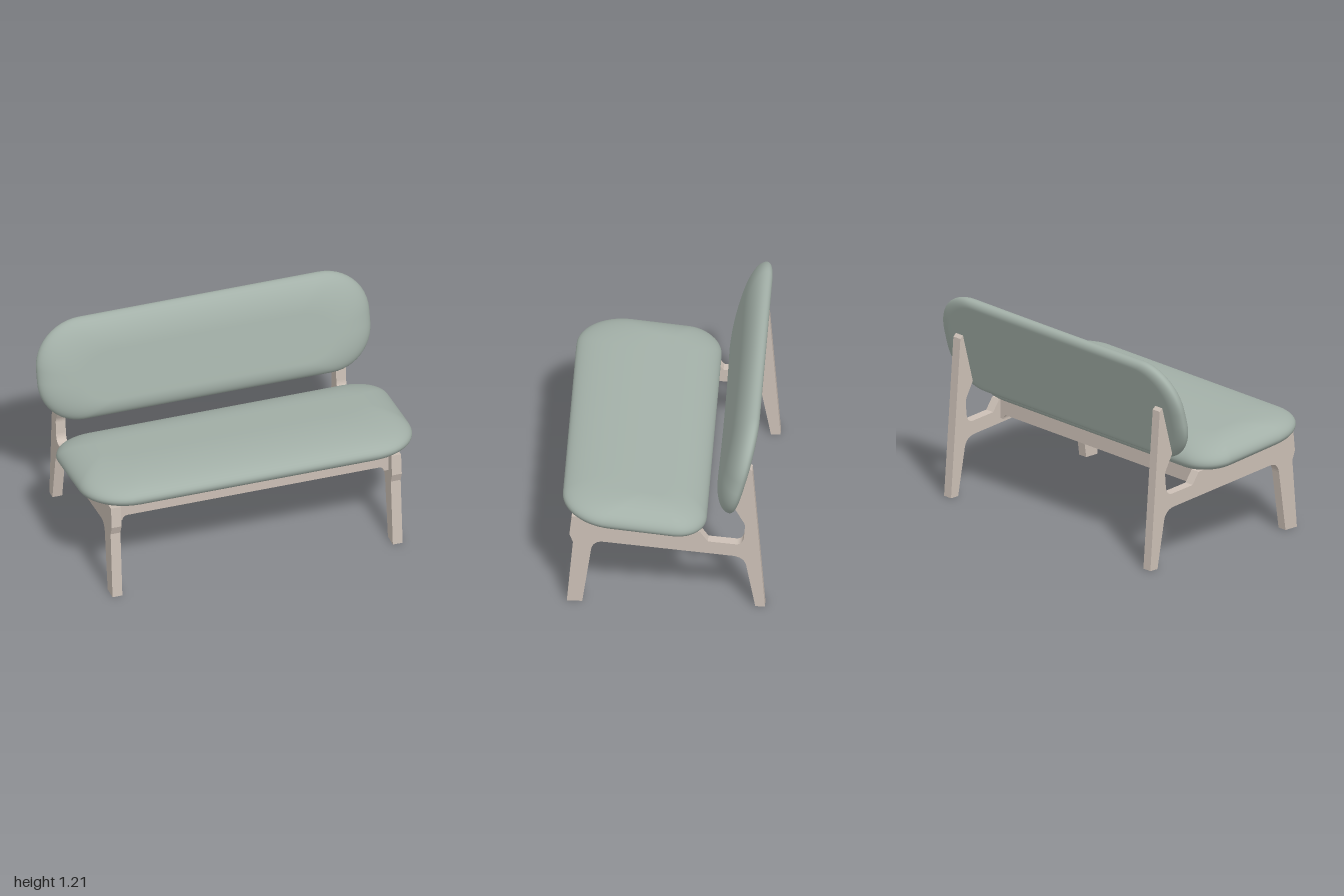
import * as THREE from 'three';

const fabric = new THREE.MeshStandardMaterial({ color: 0xa3b0a8 });
fabric.name = 'sage fabric';
const wood = new THREE.MeshStandardMaterial({ color: 0xcbbfb5 });
wood.name = 'pale wood';

const CX = -0.005; // centre line of seat and frame

// Rounded rectangle outline, counterclockwise, with its own corner radius at low and high v
function outline(hx, v0, v1, rLow, rHigh) {
  const pts = [];
  const corners = [[1, 1, 0], [-1, 1, 1], [-1, -1, 2], [1, -1, 3]];
  const N = 12;
  for (const [sx, sv, q] of corners) {
    const [rx, rv] = sv > 0 ? rHigh : rLow;
    const cx = sx * (hx - rx), cv = sv > 0 ? v1 - rv : v0 + rv;
    for (let i = 0; i <= N; i++) {
      const a = (q + i / N) * Math.PI / 2;
      pts.push([cx + rx * Math.cos(a), cv + rv * Math.sin(a)]);
    }
    // extra points along the long edges let the surface bend
    if (q % 2 === 0) {
      for (let i = 1; i < 12; i++) pts.push([cx - sx * 2 * (hx - rx) * i / 12, sv > 0 ? v1 : v0]);
    }
  }
  return pts;
}

// Upholstered pad: stacked outlines that round in towards a flat underside and a domed face
function cushion(name, p, place) {
  const base = outline(p.hx, p.v0, p.v1, p.rLow, p.rHigh);
  const rings = []; // [inset set, inset amount, height, scale to middle]
  for (const s of [0, 0.35, 0.7, 0.95]) rings.push([p.under, 1, 0, s]);
  for (let i = 0; i <= 8; i++) {
    const a = (i / 8 - 1) * Math.PI / 2;
    rings.push([p.under, 1 - Math.cos(a), p.edge * (1 + Math.sin(a)), 1]);
  }
  for (let i = 1; i <= 14; i++) {
    const a = i / 14 * Math.PI / 2;
    rings.push([p.face, 1 - Math.cos(a), p.edge + (p.thick - p.edge) * Math.sin(a), 1]);
  }
  for (const s of [0.8, 0.6, 0.4, 0.2, 0]) rings.push([p.face, 1, p.thick, s]);

  const pos = [], idx = [], n = base.length;
  for (const [inset, k, h, s] of rings) {
    const lo = p.v0 + inset.low * k, hi = p.v1 - inset.high * k, mid = (lo + hi) / 2;
    for (const [x, v] of base) {
      const px = x * (p.hx - inset.side * k) / p.hx * s;
      const pv = mid + (lo + (hi - lo) * (v - p.v0) / (p.v1 - p.v0) - mid) * s;
      pos.push(...place(px, pv, h));
    }
  }
  for (let j = 0; j < rings.length - 1; j++) {
    for (let i = 0; i < n; i++) {
      const a = j * n + i, b = j * n + (i + 1) % n;
      idx.push(a, b, a + n, b, b + n, a + n);
    }
  }
  const g = new THREE.BufferGeometry();
  g.setAttribute('position', new THREE.Float32BufferAttribute(pos, 3));
  g.setIndex(idx);
  g.computeVertexNormals();
  const mesh = new THREE.Mesh(g, fabric);
  mesh.name = name;
  return mesh;
}

// Side frame profile, drawn as (-z, y)
function frameShape() {
  const s = new THREE.Shape();
  const L = (z, y) => s.lineTo(-z, y);
  const Q = (cz, cy, z, y) => s.quadraticCurveTo(-cz, cy, -z, y);
  s.moveTo(-0.55, 0);
  L(0.462, 0);
  // front leg into lower rail
  L(0.412, 0.36);
  Q(0.402, 0.424, 0.34, 0.418);
  L(-0.395, 0.348);
  // lower rail into back leg
  Q(-0.46, 0.341, -0.473, 0.285);
  L(-0.525, 0);
  L(-0.58, 0);
  L(-0.508, 0.945);
  L(-0.488, 0.962);
  L(-0.412, 0.67);
  // elbow behind the seat
  L(-0.455, 0.59);
  Q(-0.467, 0.57, -0.466, 0.55);
  L(-0.46, 0.475);
  Q(-0.452, 0.425, -0.41, 0.429);
  L(-0.255, 0.443);
  L(-0.208, 0.511);
  L(0.522, 0.59);
  L(0.535, 0.465);
  L(0.515, 0.41);
  s.closePath();
  return s;
}

export function createModel() {
  const group = new THREE.Group();

  // Side frames
  const frameGeo = new THREE.ExtrudeGeometry(frameShape(), { depth: 0.059, bevelEnabled: false, curveSegments: 10 });
  frameGeo.rotateY(Math.PI / 2);
  for (const [name, x] of [['leftFrame', 0.8125], ['rightFrame', -0.8715]]) {
    const frame = new THREE.Mesh(frameGeo, wood);
    frame.position.x = CX + x;
    frame.name = name;
    group.add(frame);
  }

  // Seat platform with coved side strips, sloping down to the back
  const w = 0.8125;
  const deck = new THREE.Shape();
  deck.moveTo(-w, 0.583);
  deck.lineTo(-w, 0.462);
  deck.lineTo(-0.785, 0.462);
  deck.quadraticCurveTo(-0.782, 0.49, -0.752, 0.49);
  deck.lineTo(0.752, 0.49);
  deck.quadraticCurveTo(0.782, 0.49, 0.785, 0.462);
  deck.lineTo(w, 0.462);
  deck.lineTo(w, 0.583);
  deck.closePath();
  const deckGeo = new THREE.ExtrudeGeometry(deck, { depth: 0.67, bevelEnabled: false, curveSegments: 8 });
  deckGeo.translate(CX, 0, -0.2);
  const dp = deckGeo.attributes.position;
  for (let i = 0; i < dp.count; i++) dp.setY(i, dp.getY(i) + 0.1 * (dp.getZ(i) - 0.47));
  deckGeo.computeVertexNormals();
  const platform = new THREE.Mesh(deckGeo, wood);
  platform.name = 'seatPlatform';
  group.add(platform);

  // Seat cushion: v runs from front to back
  group.add(cushion('seatCushion', {
    hx: 0.995, v0: -0.58, v1: 0.245, rLow: [0.27, 0.27], rHigh: [0.2, 0.18],
    under: { low: 0.06, high: 0.05, side: 0.08 },
    face: { low: 0.4, high: 0.22, side: 0.22 },
    edge: 0.05, thick: 0.155,
  }, (x, v, h) => [CX + x, 0.535 - 0.11 * v + h, -v]));

  // Back cushion: v runs up the reclined back, its face slightly hollowed
  group.add(cushion('backCushion', {
    hx: 1, v0: 0, v1: 0.612, rLow: [0.25, 0.26], rHigh: [0.28, 0.27],
    under: { low: 0.03, high: 0.04, side: 0.07 },
    face: { low: 0.11, high: 0.2, side: 0.25 },
    edge: 0.032, thick: 0.132,
  }, (x, v, h) => {
    const hollow = 0.014 * (1 - x * x) * Math.max(0, h - 0.032) / 0.1;
    const t = h - hollow;
    return [x, 0.61 + 0.968 * v + 0.252 * t, -0.395 - 0.252 * v + 0.968 * t];
  }));

  return group;
}
